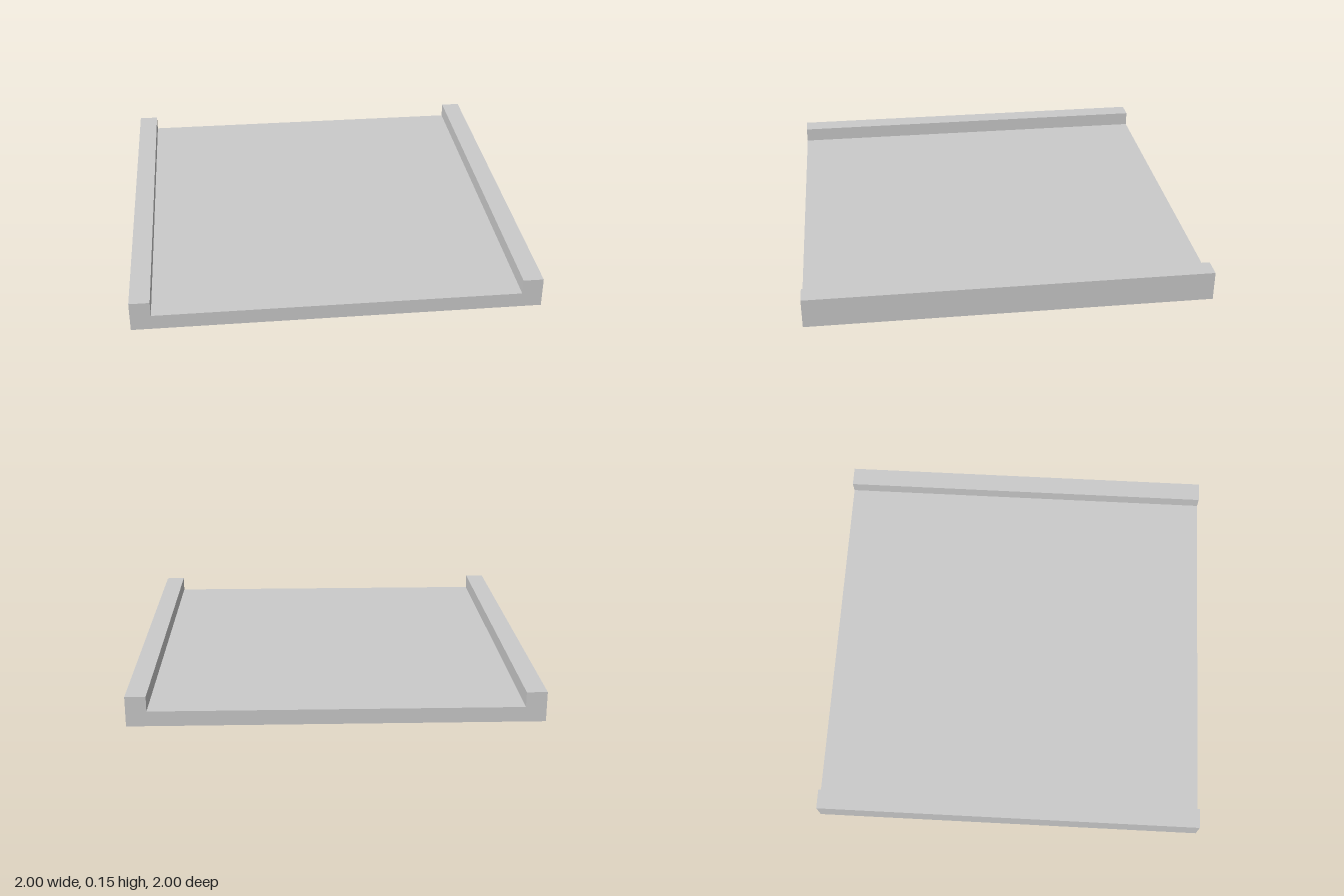
import * as THREE from 'three';

const HALF = 1, RAIL_WIDTH = 0.1, FLOOR = 0.075, HEIGHT = 0.15;

export function createModel() {
  const group = new THREE.Group();
  group.name = 'railedPlate';

  // Channel cross-section: flat plate with a raised rail along each side
  const inner = HALF - RAIL_WIDTH;
  const profile = new THREE.Shape([
    [-HALF, 0], [HALF, 0], [HALF, HEIGHT], [inner, HEIGHT],
    [inner, FLOOR], [-inner, FLOOR], [-inner, HEIGHT], [-HALF, HEIGHT],
  ].map(([x, y]) => new THREE.Vector2(x, y)));

  // Run the profile from back to front
  const geometry = new THREE.ExtrudeGeometry(profile, { depth: 2 * HALF, bevelEnabled: false });
  geometry.translate(0, 0, -HALF);

  const plate = new THREE.Mesh(
    geometry,
    new THREE.MeshStandardMaterial({ color: 0xcccccc, flatShading: true }),
  );
  plate.name = 'plateWithSideRails';
  group.add(plate);
  return group;
}
